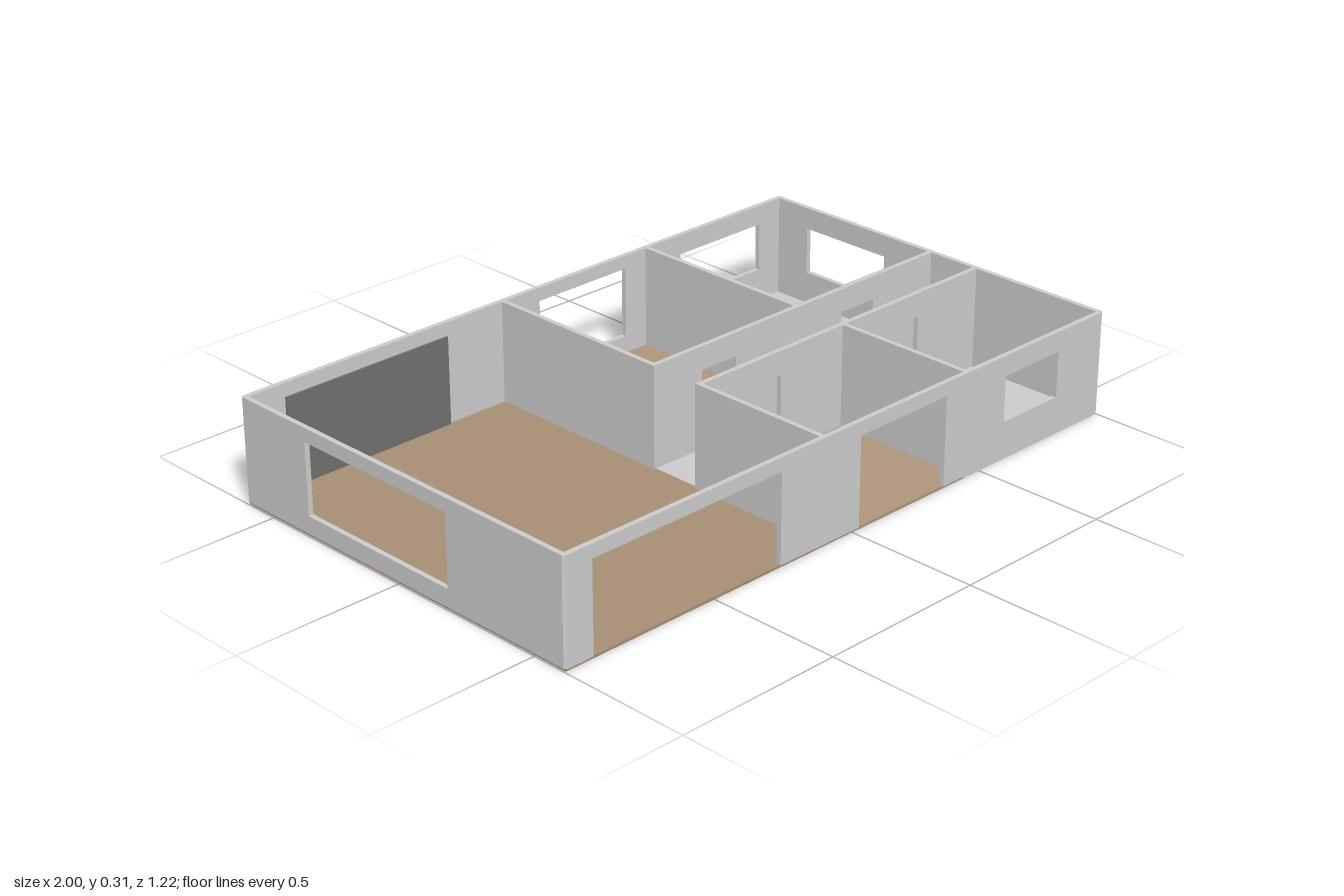
import * as THREE from 'three';

const TOP = 0.31, BASE = 0.008, T = 0.015; // wall top, floor thickness, wall thickness
const W = 1, D = 0.61;                     // half width and half depth of the house

const material = (color) => new THREE.MeshStandardMaterial({ color, flatShading: true });
const grey = material(0xcccccc);

function add(group, name, geometry, mat = grey) {
  const mesh = new THREE.Mesh(geometry, mat);
  mesh.name = name;
  group.add(mesh);
  return mesh;
}

// Upright wall panel from a to b; openings are [from, to, bottom, top], and bottom 0 means a doorway
function wallGeometry(a, b, openings = []) {
  const shape = new THREE.Shape();
  shape.moveTo(a, BASE);
  for (const [u0, u1, , top] of openings.filter((o) => o[2] === 0).sort((p, q) => p[0] - q[0])) {
    shape.lineTo(u0, BASE);
    shape.lineTo(u0, top);
    shape.lineTo(u1, top);
    shape.lineTo(u1, BASE);
  }
  shape.lineTo(b, BASE);
  shape.lineTo(b, TOP);
  shape.lineTo(a, TOP);
  shape.closePath();
  for (const [u0, u1, v0, v1] of openings.filter((o) => o[2] > 0)) {
    const hole = new THREE.Path();
    hole.moveTo(u0, v0);
    hole.lineTo(u0, v1);
    hole.lineTo(u1, v1);
    hole.lineTo(u1, v0);
    hole.closePath();
    shape.holes.push(hole);
  }
  return new THREE.ExtrudeGeometry(shape, { depth: T, bevelEnabled: false }).translate(0, 0, -T / 2);
}

export function createModel() {
  const house = new THREE.Group();
  house.name = 'house';

  const wallX = (name, z, a, b, openings) =>
    add(house, name, wallGeometry(a, b, openings).translate(0, 0, z));
  // Walls along z: the openings are given in z
  const wallZ = (name, x, a, b, openings = []) =>
    add(house, name, wallGeometry(-b, -a, openings.map(([p, q, v0, v1]) => [-q, -p, v0, v1]))
      .rotateY(Math.PI / 2).translate(x, 0, 0));

  // Outer walls
  const ix = W - T, iz = D - T;
  wallX('frontWall', D - T / 2, -ix, ix,
    [[-0.91, -0.27, 0, 0.27], [0.02, 0.35, 0, 0.27], [0.59, 0.81, 0.115, 0.25]]);
  wallX('backWall', -D + T / 2, -ix, ix,
    [[0.02, 0.35, 0.06, 0.27], [0.57, 0.9, 0.105, 0.25]]);
  wallZ('leftWall', W - T / 2, -iz, iz, [[-0.48, -0.175, 0.105, 0.245]]);
  wallZ('rightWall', -W + T / 2, -iz, iz, [[-0.35, 0.19, 0.06, 0.27]]);

  // Corner posts with a small outer chamfer
  const c = 0.007;
  for (const sx of [-1, 1]) for (const sz of [-1, 1]) {
    const corner = new THREE.Shape([
      [ix, iz], [W, iz], [W, D - c], [W - c, D], [ix, D],
    ].map(([x, z]) => new THREE.Vector2(sx * x, -sz * z)));
    add(house, 'cornerPost',
      new THREE.ExtrudeGeometry(corner, { depth: TOP - BASE, bevelEnabled: false })
        .rotateX(-Math.PI / 2).translate(0, BASE, 0));
  }

  // Partitions: two corridor walls with doorways and the cross walls on either side
  const px = [-0.111, 0.437], pz = [-0.005, 0.163];
  for (const z of pz) {
    wallX('corridorWall', z, px[0] - T / 2, ix, [[0.06, 0.19, 0, 0.24], [0.61, 0.74, 0, 0.24]]);
  }
  for (const x of px) {
    wallZ('backPartition', x, -iz, pz[0] - T / 2);
    wallZ('frontPartition', x, pz[1] + T / 2, iz);
  }

  // Floors, one slab per room
  const floor = (name, x0, x1, z0, z1, mat) =>
    add(house, name, new THREE.BoxGeometry(x1 - x0, BASE, z1 - z0)
      .translate((x0 + x1) / 2, BASE / 2, (z0 + z1) / 2), mat);
  const fx = W - 0.004, fz = D - 0.004;
  const woodDark = material(0xa68f75), woodLight = material(0xad967b);
  floor('livingRoomFloor', -fx, px[0], -fz, fz, woodDark);
  floor('corridorFloor', px[0], fx, pz[0], pz[1], grey);
  for (const [side, z0, z1] of [['back', -fz, pz[0]], ['front', pz[1], fz]]) {
    floor(side + 'BedroomFloor', px[0], px[1], z0, z1, woodLight);
    floor(side + 'EndRoomFloor', px[1], fx, z0, z1, grey);
  }

  // Dark panel on the living room's back wall
  add(house, 'wallPanel', new THREE.BoxGeometry(0.55, 0.27 - BASE, 0.006)
    .translate(-0.595, (0.27 + BASE) / 2, -iz + 0.003), material(0x70706e));

  return house;
}
